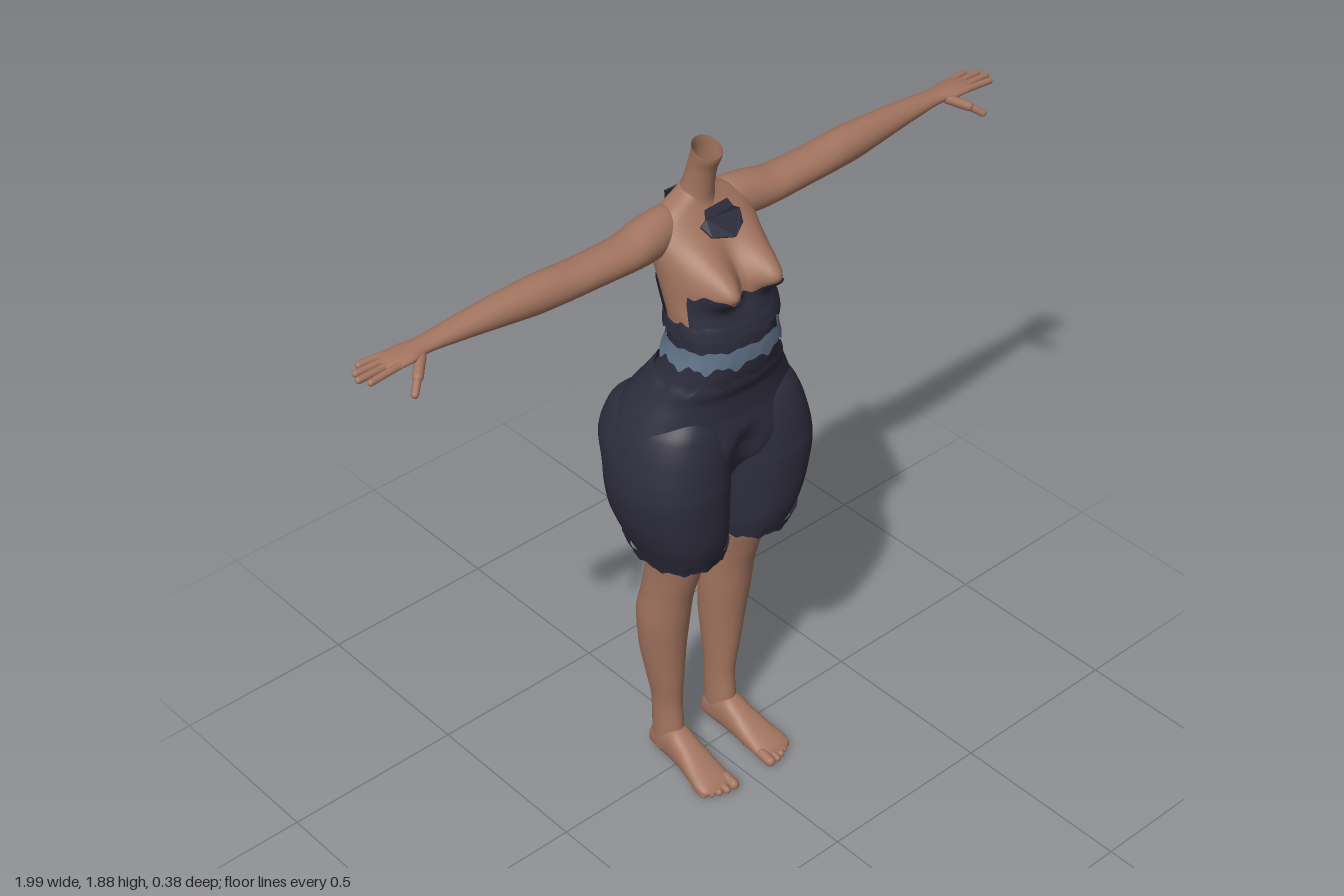
import * as THREE from 'three';

const mat = (name, color, side = THREE.FrontSide) => {
  const m = new THREE.MeshStandardMaterial({ color, side });
  m.name = name;
  return m;
};

// Smooth, non-overshooting interpolation of table rows keyed by their first column
function sample(rows, t) {
  let i = 0;
  while (i < rows.length - 2 && t > rows[i + 1][0]) i++;
  const slope = (k, c) => {
    if (k <= 0 || k >= rows.length - 1) return 0;
    const a = (rows[k][c] - rows[k - 1][c]) / (rows[k][0] - rows[k - 1][0]);
    const b = (rows[k + 1][c] - rows[k][c]) / (rows[k + 1][0] - rows[k][0]);
    return a * b <= 0 ? 0 : (2 * a * b) / (a + b);
  };
  const h = rows[i + 1][0] - rows[i][0];
  const s = THREE.MathUtils.clamp((t - rows[i][0]) / h, 0, 1);
  const s2 = s * s, s3 = s2 * s;
  return rows[i].map((p, c) => p * (2 * s3 - 3 * s2 + 1) + rows[i + 1][c] * (3 * s2 - 2 * s3)
    + h * (slope(i, c) * (s3 - 2 * s2 + s) + slope(i + 1, c) * (s3 - s2)));
}

// Closed tube surface from fn(s, angle) -> [x, y, z]
function tube(ns, na, fn) {
  const pos = [], idx = [];
  for (let i = 0; i <= ns; i++) for (let j = 0; j < na; j++) {
    pos.push(...fn(i / ns, (j / na) * Math.PI * 2));
    if (i === ns) continue;
    const a = i * na + j, b = i * na + (j + 1) % na;
    idx.push(a, a + na, b, b, a + na, b + na);
  }
  const g = new THREE.BufferGeometry();
  g.setAttribute('position', new THREE.Float32BufferAttribute(pos, 3));
  g.setIndex(idx);
  g.computeVertexNormals();
  return g;
}

const pow = (v, e) => Math.sign(v) * Math.abs(v) ** e;
const ring = (r, a, e) => [
  (r[1] + r[2]) / 2 + (r[2] - r[1]) / 2 * pow(Math.cos(a), e),
  (r[3] + r[4]) / 2 + (r[4] - r[3]) / 2 * pow(Math.sin(a), e)];

// Rows are [t, uMin, uMax, vMin, vMax]; (u, v) is (x,z), (z,y) or (y,x) for axis y, x, z
function loft(rows, axis = 'y', e = 1, ns = 48, na = 40) {
  const t0 = rows[0][0], t1 = rows[rows.length - 1][0];
  return tube(ns, na, (s, a) => {
    const t = t0 + (t1 - t0) * s, [u, v] = ring(sample(rows, t), a, e);
    return axis === 'y' ? [u, t, v] : axis === 'x' ? [t, v, u] : [v, u, t];
  });
}

function mirror(geo) {
  const g = geo.clone().scale(-1, 1, 1), ix = g.index;
  for (let i = 0; i < ix.count; i += 3) {
    const b = ix.getX(i + 1);
    ix.setX(i + 1, ix.getX(i + 2));
    ix.setX(i + 2, b);
  }
  return g;
}

// Rounded rod between two points
function rod(a, b, r) {
  const p = new THREE.Vector3(...a), q = new THREE.Vector3(...b), d = q.clone().sub(p);
  const g = new THREE.CapsuleGeometry(r, d.length(), 5, 12);
  g.applyQuaternion(new THREE.Quaternion().setFromUnitVectors(new THREE.Vector3(0, 1, 0), d.normalize()));
  return g.translate(...p.add(q).multiplyScalar(0.5).toArray());
}

const sym = rows => rows.map(([y, h, z0, z1]) => [y, -h, h, z0, z1]);
const TORSO = sym([[1.26, 0.165, -0.09, 0.13], [1.33, 0.146, -0.065, 0.142], [1.4, 0.132, -0.052, 0.148],
  [1.46, 0.138, -0.06, 0.146], [1.52, 0.141, -0.075, 0.12], [1.58, 0.145, -0.09, 0.09], [1.64, 0.15, -0.1, 0.052],
  [1.69, 0.135, -0.1, 0.02], [1.72, 0.1, -0.092, 0], [1.745, 0.05, -0.085, -0.012], [1.765, 0.025, -0.075, -0.025]]);

// Torso surface with bust, pushed outward by "off"
function torsoPoint(y, a, off = 0) {
  const r = sample(TORSO, y);
  let [x, z] = ring([y, r[1] - off, r[2] + off, r[3] - off, r[4] + off], a, 0.88);
  const front = THREE.MathUtils.smoothstep(Math.sin(a), 0, 0.6);
  z += 0.088 * front * Math.exp(-(((Math.abs(x) - 0.072) / 0.052) ** 2) - ((y - 1.57) / (y > 1.57 ? 0.072 : 0.045)) ** 2);
  return [x, y, z];
}
const shell = (lo, hi, off, flare = 0) => tube(24, 160, (s, a) => {
  const y0 = lo(a), y = y0 + (hi(a) - y0) * s;
  return torsoPoint(y, a, off + flare * (1 - s));
});
const rag = (y, amp, k = 1) => a => y + amp * (Math.sin(11 * a + k) + 0.6 * Math.sin(23 * a + 2 * k));

export function createModel() {
  const model = new THREE.Group();
  const skin = mat('skin', 0xa2745f);
  const skinOpen = mat('skin open edge', 0xa2745f, THREE.DoubleSide);
  const cloth = mat('dark cloth', 0x2e2d3d, THREE.DoubleSide);
  const blue = mat('blue sash', 0x5f7186, THREE.DoubleSide);
  const add = (name, geo, m) => {
    const mesh = new THREE.Mesh(geo, m);
    mesh.name = name;
    model.add(mesh);
  };
  const pair = (name, geo, m) => {
    add(name + 'Left', geo, m);
    add(name + 'Right', mirror(geo), m);
  };

  // Torso and open, forward-leaning neck with a slanted rim
  add('torso', tube(70, 80, (s, a) => torsoPoint(1.26 + 0.505 * s, a)), skin);
  const neck = sym([[1.69, 0.06, -0.1, 0.01], [1.73, 0.044, -0.092, 0.002], [1.77, 0.037, -0.074, 0.006],
    [1.82, 0.034, -0.056, 0.016], [1.868, 0.037, -0.042, 0.031]]);
  add('neck', tube(24, 40, (s, a) => {
    const t = 1.69 + 0.178 * s, [x, z] = ring(sample(neck, t), a, 1);
    return [x, t - 0.015 * s * s * Math.sin(a), z];
  }), skinOpen);

  // Arms with palms, fingers and thumbs
  pair('arm', loft([[0.05, -0.09, -0.02, 1.63, 1.715], [0.1, -0.1, 0.0, 1.615, 1.728], [0.16, -0.1, 0.012, 1.612, 1.722],
    [0.24, -0.092, 0.02, 1.62, 1.707], [0.36, -0.086, 0.018, 1.624, 1.708], [0.48, -0.086, 0.01, 1.622, 1.714],
    [0.6, -0.084, -0.002, 1.632, 1.708], [0.72, -0.08, -0.014, 1.645, 1.697], [0.81, -0.076, -0.02, 1.654, 1.688],
    [0.86, -0.086, -0.01, 1.655, 1.685], [0.9, -0.088, -0.012, 1.656, 1.68], [0.92, -0.075, -0.025, 1.664, 1.674]],
    'x', 1, 64), skin);
  [[-0.079, -0.088, 0.952], [-0.06, -0.066, 0.977], [-0.04, -0.042, 0.986], [-0.021, -0.017, 0.972]].forEach(([z0, z1, x], i) =>
    pair('finger' + (i + 1), rod([0.89, 1.669, z0], [x, 1.665, z1], 0.0088), skin));
  pair('thumbBase', rod([0.83, 1.664, -0.025], [0.868, 1.645, 0.012], 0.013), skin);
  pair('thumbTip', rod([0.868, 1.645, 0.012], [0.896, 1.624, 0.036], 0.0095), skin);

  // Lower legs
  pair('leg', loft([[0.03, 0.06, 0.13, -0.105, -0.005], [0.1, 0.058, 0.129, -0.108, -0.006], [0.18, 0.058, 0.13, -0.108, -0.012],
    [0.28, 0.053, 0.145, -0.12, -0.004], [0.4, 0.044, 0.165, -0.132, 0.006], [0.5, 0.04, 0.174, -0.132, 0.02],
    [0.58, 0.042, 0.17, -0.115, 0.034], [0.66, 0.038, 0.168, -0.1, 0.058], [0.74, 0.028, 0.172, -0.085, 0.08],
    [0.85, 0.02, 0.18, -0.085, 0.09]]), skin);

  // Feet and toes
  pair('foot', loft([[-0.115, 0.02, 0.04, 0.085, 0.1], [-0.105, 0.002, 0.07, 0.066, 0.12], [-0.07, 0, 0.1, 0.058, 0.128],
    [-0.02, 0, 0.11, 0.056, 0.134], [0.03, 0, 0.09, 0.054, 0.14], [0.08, 0, 0.064, 0.052, 0.15],
    [0.13, 0, 0.042, 0.052, 0.158], [0.155, 0.003, 0.03, 0.056, 0.154], [0.165, 0.012, 0.02, 0.08, 0.13]], 'z', 0.85), skin);
  [[0.066, 0.17, 0.015], [0.091, 0.17, 0.011], [0.112, 0.163, 0.01], [0.131, 0.154, 0.0095], [0.149, 0.143, 0.009]].forEach(([x, z, r], i) =>
    pair('toe' + (i + 1), rod([x, r + 0.006, z - 0.03], [x, r + 0.001, z + 0.003], r), skin));

  // Bodice: high cups and back panel, cut low under the arms
  const step = THREE.MathUtils.smoothstep;
  const edge = rag(0, 0.006);
  const bodiceTop = a => {
    const s = Math.sin(a);
    return 1.472 + 0.085 * step(s, 0.34, 0.46) - 0.018 * step(s, 0.93, 1) + 0.08 * step(-s, 0.42, 0.56) + edge(a);
  };
  add('bodice', shell(() => 1.37, bodiceTop, 0.006), cloth);
  add('bodiceFold', shell(rag(1.435, 0.005, 2), rag(1.474, 0.003), 0.008, 0.007), cloth);
  add('waistSash', shell(rag(1.358, 0.008, 3), rag(1.405, 0.003, 1), 0.012, 0.006), blue);
  add('waistband', shell(() => 1.27, () => 1.385, 0.008), cloth);

  // Shorts: hips with a centre cleft, then two full thighs with hems
  const hips = sym([[0.96, 0.2, -0.1, 0.1], [1.04, 0.268, -0.17, 0.14], [1.1, 0.265, -0.193, 0.15], [1.15, 0.25, -0.185, 0.142],
    [1.2, 0.228, -0.162, 0.136], [1.25, 0.2, -0.128, 0.137], [1.29, 0.178, -0.1, 0.15], [1.31, 0.166, -0.085, 0.152]]);
  add('hips', tube(48, 96, (s, a) => {
    const y = 0.96 + 0.35 * s, [x, z] = ring(sample(hips, y), a, 0.85);
    const deep = (z < 0 ? 0.3 : 0.22) * (1 - step(y, 1.08, z < 0 ? 1.24 : 1.16));
    return [x, y + edge(a) * step(s, 0.9, 1), z * (1 - deep * Math.exp(-((x / 0.04) ** 2)))];
  }), cloth);
  pair('shortsLeg', loft([[0.762, 0.09, 0.11, -0.01, 0.01], [0.766, 0.012, 0.208, -0.108, 0.125], [0.8, 0.004, 0.226, -0.13, 0.142],
    [0.85, 0.001, 0.248, -0.148, 0.154], [0.92, -0.002, 0.27, -0.163, 0.16], [1.0, -0.003, 0.281, -0.164, 0.163],
    [1.035, -0.003, 0.279, -0.17, 0.16], [1.1, 0.0, 0.266, -0.194, 0.153], [1.17, 0.015, 0.238, -0.176, 0.135],
    [1.24, 0.05, 0.18, -0.11, 0.1]], 'y', 0.88, 72, 56), cloth);
  const hem = [[0.75, 0.008, 0.217, -0.116, 0.132], [0.81, -0.001, 0.236, -0.138, 0.15]];
  pair('shortsHem', tube(4, 80, (s, a) => {
    const y = 0.757 + 0.043 * s, [x, z] = ring(sample(hem, y), a, 0.88);
    return [x, y + 0.6 * edge(a), z];
  }), cloth);

  // Ragged collar patches in front of and behind the neck
  const patch = (pts, tilt, y, z, bend) => {
    const shape = new THREE.Shape(pts.map(p => new THREE.Vector2(...p)));
    const g = new THREE.ExtrudeGeometry(shape, { depth: 0.005, bevelEnabled: false });
    const p = g.attributes.position;
    for (let i = 0; i < p.count; i++) p.setZ(i, p.getZ(i) + bend * p.getX(i) ** 2);
    g.computeVertexNormals();
    return g.rotateX(tilt).translate(0, y, z);
  };
  add('frontCollarPatch', patch([[-0.035, 0.042], [0.035, 0.045], [0.043, 0.022], [0.062, 0.012], [0.048, -0.022],
    [0.025, -0.034], [0.005, -0.046], [-0.024, -0.036], [-0.05, -0.024], [-0.062, 0.01], [-0.044, 0.02]], -0.75, 1.699, 0.056, -4), cloth);
  add('backCollarPatch', patch([[-0.05, 0.036], [-0.02, 0.03], [0.02, 0.032], [0.05, 0.036], [0.042, 0], [0.05, -0.034],
    [0.02, -0.038], [-0.018, -0.034], [-0.05, -0.036], [-0.042, 0]], 0.2, 1.696, -0.112, 2), cloth);

  return model;
}
